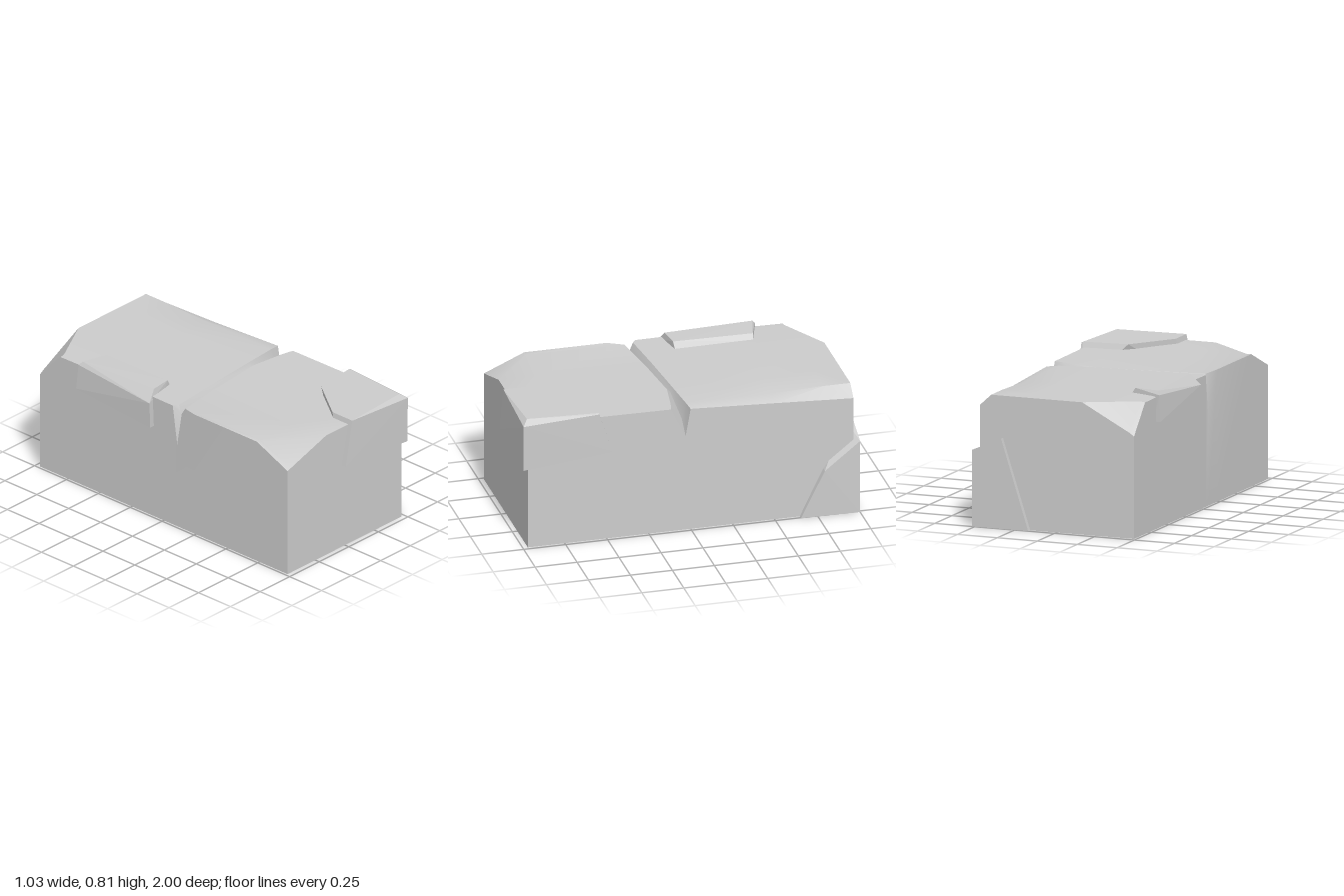
import * as THREE from 'three';
import { toCreasedNormals } from 'three/addons/utils/BufferGeometryUtils.js';
import { ConvexGeometry } from 'three/addons/geometries/ConvexGeometry.js';

const stone = new THREE.MeshStandardMaterial({ color: 0xcccccc });
stone.name = 'pale grey stone';

// Main block: a height grid on top, dropped to the ground on all four sides
function blockGeometry() {
  const xs = [-0.485, -0.455, -0.16, 0.2, 0.41, 0.48];
  // each row runs from -x to +x; z is one value or one per column
  const rows = [
    { z: -0.97, y: [0.6, 0.62, 0.775, 0.775, 0.775, 0.71] },
    { z: -0.81, y: [0.77, 0.775, 0.775, 0.775, 0.775, 0.718] },
    { z: -0.5, y: [0.775, 0.775, 0.775, 0.775, 0.765, 0.735] },
    // crack: back lip, bottom, front lip
    { z: [0.07, 0.09, 0.06, 0.03, 0.01, 0], y: [0.772, 0.772, 0.772, 0.772, 0.768, 0.76] },
    { z: [0.105, 0.112, 0.08, 0.045, 0.034, 0.03], y: [0.53, 0.72, 0.74, 0.745, 0.67, 0.59] },
    { z: [0.24, 0.14, 0.1, 0.065, 0.1, 0.117], y: [0.775, 0.765, 0.765, 0.765, 0.77, 0.77] },
    { z: 0.73, y: [0.775, 0.775, 0.775, 0.775, 0.775, 0.775] },
    { z: 0.97, y: [0.67, 0.68, 0.775, 0.775, 0.775, 0.775] },
  ];
  const top = rows.map((r) => xs.map((x, j) => [x, r.y[j], Array.isArray(r.z) ? r.z[j] : r.z]));
  const pos = [];
  const quad = (a, b, c, d) => pos.push(...a, ...b, ...c, ...a, ...c, ...d);
  const down = (p) => [p[0], 0, p[2]];
  const wall = (a, b) => quad(down(a), down(b), b, a);
  const R = rows.length - 1, C = xs.length - 1;
  for (let i = 0; i < R; i++) {
    for (let j = 0; j < C; j++) {
      const a = top[i][j], b = top[i + 1][j], c = top[i + 1][j + 1], d = top[i][j + 1];
      if (i === 0) quad(b, c, d, a); // diagonal follows the chipped back corner
      else quad(a, b, c, d);
    }
    wall(top[i][0], top[i + 1][0]);
    wall(top[i + 1][C], top[i][C]);
  }
  for (let j = 0; j < C; j++) {
    wall(top[R][j], top[R][j + 1]);
    wall(top[0][j + 1], top[0][j]);
  }
  quad(down(top[0][0]), down(top[0][C]), down(top[R][C]), down(top[R][0]));
  const g = new THREE.BufferGeometry();
  g.setAttribute('position', new THREE.Float32BufferAttribute(pos, 3));
  return toCreasedNormals(g, Math.PI / 6);
}

// Raised slabs, each the hull of a few corners
const slabs = {
  frontCornerSlab: [
    [-0.025, 0.53, 1], [-0.025, 0.53, 0.95], [0.495, 0.495, 1], [0.46, 0.51, 0.95],
    [0.5, 0.555, 0.47], [0.46, 0.555, 0.47],
    [0.035, 0.805, 0.995], [0.035, 0.805, 0.84], [0.22, 0.805, 0.58], [0.49, 0.805, 0.55],
    [0.5, 0.8, 0.55], [0.46, 0.805, 0.97], [0.5, 0.775, 1],
  ],
  leftEdgeSlab: [
    [-0.52, 0.59, -0.075], [-0.47, 0.585, -0.08], [-0.515, 0.63, -0.66], [-0.47, 0.63, -0.65],
    [-0.52, 0.745, -0.08], [-0.505, 0.785, -0.65], [-0.46, 0.81, -0.1], [-0.49, 0.808, -0.63],
    [-0.33, 0.81, -0.115], [-0.33, 0.805, -0.59], [-0.305, 0.77, -0.12], [-0.305, 0.77, -0.585],
  ],
  backCornerSlab: [
    [0.165, 0, -1], [0.165, 0, -0.95], [0.335, 0.53, -1], [0.335, 0.525, -0.95],
    [0.515, 0.45, -1], [0.47, 0.465, -1], [0.515, 0, -1],
    [0.515, 0.285, -0.79], [0.46, 0.29, -0.79], [0.507, 0, -0.65], [0.46, 0, -0.65],
  ],
};

export function createModel() {
  const group = new THREE.Group();
  group.name = 'crackedStoneBlock';
  const add = (name, geometry) => {
    const mesh = new THREE.Mesh(geometry, stone);
    mesh.name = name;
    group.add(mesh);
  };
  add('block', blockGeometry());
  for (const [name, corners] of Object.entries(slabs)) {
    add(name, new ConvexGeometry(corners.map((p) => new THREE.Vector3(...p))));
  }
  return group;
}
